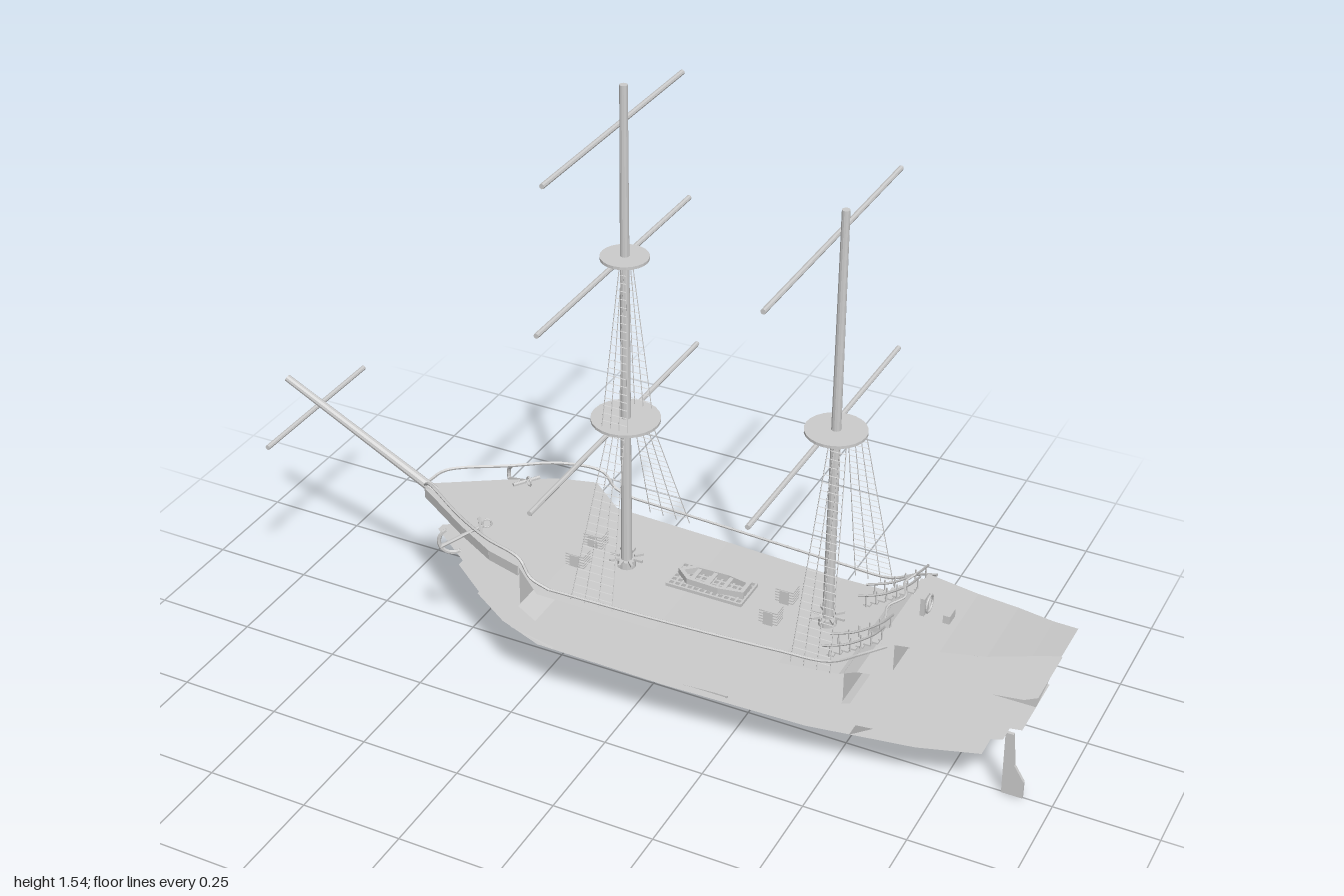
import * as THREE from 'three';

const mat = new THREE.MeshStandardMaterial({ color: 0xcccccc, flatShading: true, side: THREE.DoubleSide });
const V = (x, y, z) => new THREE.Vector3(x, y, z);

export function createModel() {
  const root = new THREE.Group();
  const add = (geo, name, parent = root) => {
    const m = new THREE.Mesh(geo, mat);
    m.name = name;
    parent.add(m);
    return m;
  };
  const group = (name) => {
    const g = new THREE.Group();
    g.name = name;
    root.add(g);
    return g;
  };
  const box = (name, x, y, z, w, h, d, parent) => {
    const m = add(new THREE.BoxGeometry(w, h, d), name, parent);
    m.position.set(x, y, z);
    return m;
  };
  // Straight round bar between two points
  const bar = (name, a, b, r0, r1 = r0, sides = 4, parent = root) => {
    const m = add(new THREE.CylinderGeometry(r1, r0, a.distanceTo(b), sides), name, parent);
    m.position.copy(a).add(b).multiplyScalar(0.5);
    m.quaternion.setFromUnitVectors(V(0, 1, 0), b.clone().sub(a).normalize());
    return m;
  };
  const tube = (name, pts, r, parent = root) =>
    add(new THREE.TubeGeometry(new THREE.CatmullRomCurve3(pts), pts.length * 6, r, 5), name, parent);
  // Thin sheet made of stations [x, y, halfWidth]
  const sheet = (name, stations) => {
    const pos = [], idx = [];
    stations.forEach(([x, y, w], i) => {
      pos.push(x, y, w, x, y, -w);
      if (i) { const k = 2 * i; idx.push(k - 2, k, k - 1, k - 1, k, k + 1); }
    });
    const g = new THREE.BufferGeometry();
    g.setAttribute('position', new THREE.Float32BufferAttribute(pos, 3));
    g.setIndex(idx);
    g.computeVertexNormals();
    return add(g, name);
  };

  // Decks, lowest first
  sheet('holdFloor', [[-0.47, 0.125, 0.02], [-0.36, 0.125, 0.09], [-0.24, 0.125, 0.135], [0.1, 0.125, 0.14],
    [0.45, 0.125, 0.13], [0.7, 0.125, 0.09], [0.84, 0.125, 0.045]]);
  sheet('orlopDeck', [[-0.52, 0.195, 0.02], [-0.4, 0.195, 0.11], [-0.28, 0.195, 0.185], [-0.15, 0.195, 0.21],
    [0.1, 0.195, 0.205], [0.4, 0.195, 0.185], [0.65, 0.195, 0.15], [0.8, 0.195, 0.1], [0.89, 0.195, 0.06]]);
  sheet('gunDeck', [[-0.58, 0.275, 0.01], [-0.45, 0.275, 0.105], [-0.34, 0.275, 0.17], [-0.25, 0.275, 0.2], [-0.2, 0.255, 0.21],
    [0.1, 0.255, 0.205], [0.4, 0.255, 0.19], [0.55, 0.255, 0.175], [0.57, 0.26, 0.172], [0.8, 0.26, 0.12], [0.94, 0.26, 0.09]]);
  sheet('mainDeck', [[-0.62, 0.385, 0.005], [-0.45, 0.385, 0.11], [-0.34, 0.385, 0.17], [-0.25, 0.385, 0.195], [-0.2, 0.325, 0.2],
    [0.1, 0.32, 0.195], [0.4, 0.32, 0.18], [0.54, 0.33, 0.17], [0.58, 0.345, 0.165], [0.8, 0.35, 0.125], [0.94, 0.35, 0.1], [0.965, 0.35, 0.08]]);
  sheet('poopDeck', [[0.62, 0.425, 0.145], [0.75, 0.427, 0.12], [0.85, 0.435, 0.1], [0.94, 0.447, 0.07], [1, 0.457, 0.055]]);

  // Bulkheads between the decks
  sheet('foreHoldBulkhead', [[-0.28, 0.195, 0.185], [-0.2, 0.125, 0.135]]);
  sheet('aftHoldBulkhead', [[0.62, 0.195, 0.155], [0.55, 0.125, 0.115]]);
  sheet('foreBulkhead', [[-0.25, 0.275, 0.19], [-0.25, 0.385, 0.19]]);
  sheet('aftBulkhead', [[0.55, 0.255, 0.165], [0.55, 0.335, 0.165]]);
  sheet('poopBulkhead', [[0.65, 0.35, 0.13], [0.65, 0.425, 0.13]]);
  const wall = new THREE.Shape([[0.55, 0.26], [0.94, 0.26], [0.965, 0.35], [0.54, 0.35]].map(p => new THREE.Vector2(...p)));
  add(new THREE.ShapeGeometry(wall), 'cabinWall');
  const door = new THREE.Shape();
  door.moveTo(-0.04, 0.35).lineTo(0.04, 0.35).lineTo(0.04, 0.385);
  door.absarc(0, 0.385, 0.04, 0, Math.PI, false);
  const doorMesh = add(new THREE.ExtrudeGeometry(door, { depth: 0.006, bevelEnabled: false, curveSegments: 8 }), 'cabinDoor');
  doorMesh.rotation.y = Math.PI / 2;
  doorMesh.position.x = 0.646;

  // Slatted cargo crib in the hold
  const crib = group('cargoCrib');
  for (let i = 0; i < 8; i++) box('cribSlat', 0.195, 0.133 + i * 0.0085, 0, 0.11, 0.004, 0.25, crib);
  for (const x of [0.142, 0.248]) for (const z of [-0.12, 0, 0.12]) box('cribPost', x, 0.162, z, 0.005, 0.068, 0.006, crib);

  // Rudder
  const rudder = new THREE.Shape([[0.88, 0.005], [0.93, 0.005], [0.93, 0.05], [0.905, 0.09], [0.897, 0.175], [0.878, 0.175]]
    .map(p => new THREE.Vector2(...p)));
  const rudderMesh = add(new THREE.ExtrudeGeometry(rudder, { depth: 0.008, bevelEnabled: false }), 'rudder');
  rudderMesh.position.set(0, -0.005, -0.004);

  // Bowsprit and its yard
  bar('bowsprit', V(-0.37, 0.265, 0), V(-0.996, 0.585, 0), 0.014, 0.009, 10);
  bar('bowspritYard', V(-0.915, 0.525, -0.21), V(-0.915, 0.525, 0.21), 0.006, 0.006, 8);

  // Masts with tops, yards and a ring of belaying pins
  const mast = (name, x, top, yards, tops) => {
    const g = group(name);
    bar('mastPole', V(x, 0.06, 0), V(x, top, 0), 0.014, 0.009, 12, g);
    for (const [y, half] of yards) bar('yard', V(x - 0.02, y, -half), V(x - 0.02, y, half), 0.006, 0.006, 8, g);
    for (const [y, r] of tops) add(new THREE.CylinderGeometry(r, r, 0.007, 24), 'topPlatform', g).position.set(x, y, 0);
    for (let i = 0; i < 8; i++) {
      const a = i * Math.PI / 4;
      box('belayingPin', x + Math.cos(a) * 0.03, 0.345, Math.sin(a) * 0.03, 0.022, 0.006, 0.006, g).rotation.y = -a;
    }
    add(new THREE.CylinderGeometry(0.022, 0.022, 0.02, 12), 'mastCollar', g).position.set(x, 0.332, 0);
  };
  mast('foreMast', -0.07, 1.54, [[1.44, 0.32], [1.115, 0.36], [0.705, 0.41]], [[1.135, 0.055], [0.725, 0.08]]);
  mast('mainMast', 0.44, 1.365, [[1.3, 0.36], [0.825, 0.41]], [[0.835, 0.07]]);

  // Rope ladders: shrouds from a wide foot to a narrow head, with rungs
  const shrouds = (x0, x1, y0, z0, tx0, tx1, y1, z1, rungs) => {
    for (const s of [-1, 1]) {
      const g = group('shrouds');
      const at = (u, t) => V(THREE.MathUtils.lerp(x0 + (x1 - x0) * u, tx0 + (tx1 - tx0) * u, t),
        THREE.MathUtils.lerp(y0, y1, t), s * THREE.MathUtils.lerp(z0, z1, t));
      for (let i = 0; i < 4; i++) bar('shroud', at(i / 3, 0), at(i / 3, 1), 0.0013, 0.0013, 3, g);
      for (let i = 1; i < rungs; i++) bar('rung', at(0, i / rungs), at(1, i / rungs), 0.0011, 0.0011, 3, g);
    }
  };
  shrouds(-0.11, -0.005, 0.34, 0.2, -0.085, -0.045, 0.725, 0.055, 22);
  shrouds(-0.1, -0.035, 0.725, 0.06, -0.075, -0.06, 1.135, 0.012, 22);
  shrouds(0.43, 0.525, 0.335, 0.185, 0.445, 0.485, 0.835, 0.05, 28);

  // Rails, anchors and bulwarks on each side
  for (const s of [-1, 1]) {
    tube('bowRail', [V(-0.61, 0.395, 0.01 * s), V(-0.58, 0.418, 0.035 * s), V(-0.45, 0.42, 0.12 * s), V(-0.34, 0.425, 0.18 * s),
      V(-0.24, 0.415, 0.205 * s), V(-0.21, 0.375, 0.21 * s), V(-0.16, 0.358, 0.212 * s)], 0.004);
    tube('sideRail', [V(-0.16, 0.358, 0.212 * s), V(0.1, 0.356, 0.202 * s), V(0.4, 0.357, 0.185 * s), V(0.52, 0.362, 0.177 * s),
      V(0.59, 0.4, 0.168 * s), V(0.64, 0.425, 0.15 * s)], 0.0035);
    const edge = [[-0.61, 0.01], [-0.45, 0.11], [-0.34, 0.17], [-0.25, 0.195]];
    for (let i = 1; i < edge.length; i++) {
      const [ax, az] = edge[i - 1], [bx, bz] = edge[i];
      box('bowPlank', (ax + bx) / 2, 0.372, s * (az + bz) / 2, Math.hypot(bx - ax, bz - az), 0.026, 0.004)
        .rotation.y = -Math.atan2(s * (bz - az), bx - ax);
    }
    const anchor = group('anchor');
    bar('anchorShank', V(-0.05, -0.02, 0), V(0.05, 0.03, 0), 0.005, 0.004, 6, anchor);
    bar('anchorStock', V(0.045, 0.027, -0.035), V(0.045, 0.027, 0.035), 0.005, 0.005, 6, anchor);
    const arms = add(new THREE.TorusGeometry(0.034, 0.005, 6, 12, Math.PI), 'anchorArms', anchor);
    arms.position.set(-0.02, -0.005, 0);
    arms.rotation.z = Math.PI / 2 + 0.46;
    add(new THREE.TorusGeometry(0.011, 0.0025, 6, 12), 'anchorRing', anchor).position.set(0.06, 0.035, 0);
    anchor.position.set(-0.435, 0.37, 0.135 * s);
    anchor.rotation.y = s * 0.6;
    // Stairs up to the poop
    const stairs = group('poopStairs');
    for (let i = 0; i < 8; i++) box('step', 0.5 + i * 0.017, 0.338 + i * 0.0115, 0.105 * s, 0.017, 0.004, 0.045, stairs);
    for (const z of [0.08, 0.13]) {
      tube('handrail', [V(0.48, 0.36, z * s), V(0.54, 0.385, z * s), V(0.6, 0.43, z * s), V(0.625, 0.46, z * s)], 0.003, stairs);
      for (let i = 0; i < 6; i++) bar('baluster', V(0.5 + i * 0.024, 0.335 + i * 0.016, z * s), V(0.5 + i * 0.024, 0.37 + i * 0.017, z * s), 0.002, 0.002, 4, stairs);
    }
  }

  // Curved breast rail at the poop front
  tube('breastRail', [V(0.61, 0.455, -0.09), V(0.6, 0.455, -0.05), V(0.62, 0.455, 0), V(0.6, 0.455, 0.05), V(0.61, 0.455, 0.09)], 0.003);

  // Steep ladders between decks
  const ladder = (x, y0, y1, w, z) => {
    const g = group('deckLadder');
    for (let i = 0; i < 7; i++) box('tread', x, y0 + (y1 - y0) * i / 6, z, w, 0.003, 0.035, g);
    for (const dz of [-0.018, 0.018]) box('ladderSide', x, (y0 + y1) / 2, z + dz, w * 0.5, y1 - y0, 0.003, g);
  };
  for (const z of [-0.045, 0.045]) {
    ladder(-0.138, 0.185, 0.255, 0.05, z);
    ladder(-0.175, 0.31, 0.355, 0.048, z);
    ladder(0.32, 0.31, 0.355, 0.045, z);
    ladder(0.37, 0.185, 0.255, 0.035, z);
  }
  ladder(0.16, 0.255, 0.315, 0.02, 0);

  // Grating amidships with a small boat on it
  const hatch = group('grating');
  for (let i = 0; i < 13; i++) box('gratingBar', 0.058 + i * 0.0155, 0.338, 0, 0.005, 0.008, 0.09, hatch);
  for (let i = 0; i < 7; i++) box('gratingBar', 0.15, 0.338, -0.045 + i * 0.015, 0.19, 0.008, 0.005, hatch);
  const boat = new THREE.Shape([[0.065, 0], [0.1, 0.03], [0.18, 0.033], [0.24, 0.022], [0.24, -0.022], [0.18, -0.033], [0.1, -0.03]]
    .map(p => new THREE.Vector2(...p)));
  boat.holes.push(new THREE.Path([[0.08, 0], [0.105, 0.022], [0.18, 0.025], [0.23, 0.016], [0.23, -0.016], [0.18, -0.025], [0.105, -0.022]]
    .map(p => new THREE.Vector2(...p))));
  const boatMesh = add(new THREE.ExtrudeGeometry(boat, { depth: 0.016, bevelEnabled: false }), 'boat');
  boatMesh.rotation.x = -Math.PI / 2;
  boatMesh.position.y = 0.341;
  for (const x of [0.11, 0.15, 0.19]) box('boatSeat', x, 0.352, 0, 0.01, 0.004, 0.05);

  // Poop fittings
  box('wheelPost', 0.667, 0.45, 0, 0.01, 0.045, 0.03);
  const wheel = add(new THREE.TorusGeometry(0.02, 0.003, 6, 16), 'wheel');
  wheel.position.set(0.678, 0.455, 0);
  wheel.rotation.y = Math.PI / 2;
  box('binnacle', 0.725, 0.437, 0, 0.016, 0.02, 0.035);

  return root;
}
